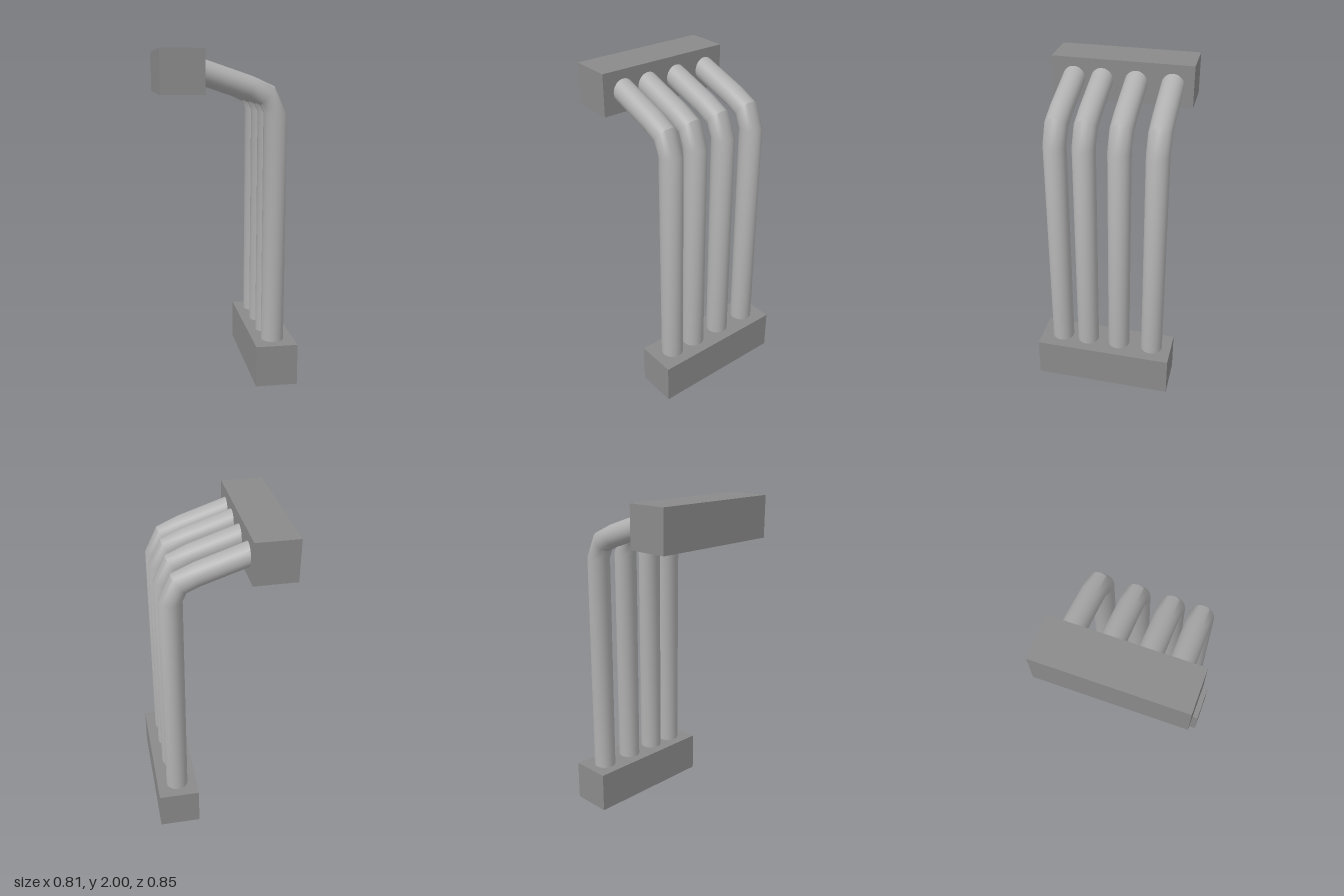
import * as THREE from 'three';
import { toCreasedNormals } from 'three/addons/utils/BufferGeometryUtils.js';

const SIDES = 24, RADIUS = 0.068;

// Pipe rings as [inner x, inner y, outer x, outer y], from the lower block to the upper one
const RINGS = [
  [0.206, 0.2, 0.344, 0.2],
  [0.206, 1.636, 0.344, 1.636],
  [0.184, 1.684, 0.269, 1.79],
  [0.119, 1.715, 0.142, 1.848],
  [-0.22, 1.829, -0.18, 1.957],
];

// Mitred pipe: elliptical rings joined by strips, with a crease at the sharpest bend
function pipeGeometry() {
  const positions = [], index = [];
  for (const [ix, iy, ox, oy] of RINGS) {
    for (let i = 0; i < SIDES; i++) {
      const a = (i / SIDES) * Math.PI * 2;
      const t = (1 + Math.cos(a)) / 2;
      positions.push(ix + (ox - ix) * t, iy + (oy - iy) * t, -RADIUS * Math.sin(a));
    }
  }
  for (let r = 0; r < RINGS.length - 1; r++) {
    for (let i = 0; i < SIDES; i++) {
      const j = (i + 1) % SIDES;
      const a = r * SIDES + i, b = r * SIDES + j;
      index.push(a, b, b + SIDES, a, b + SIDES, a + SIDES);
    }
  }
  const g = new THREE.BufferGeometry();
  g.setAttribute('position', new THREE.Float32BufferAttribute(positions, 3));
  g.setIndex(index);
  return toCreasedNormals(g, 0.58);
}

export function createModel() {
  const group = new THREE.Group();
  const blockMaterial = new THREE.MeshStandardMaterial({ color: 0x8a8a8a });
  const pipeMaterial = new THREE.MeshStandardMaterial({ color: 0xb0b0b0 });
  const add = (name, geometry, material, x, y, z) => {
    const mesh = new THREE.Mesh(geometry, material);
    mesh.name = name;
    mesh.position.set(x, y, z);
    group.add(mesh);
  };

  // Header blocks at the two ends of the pipes
  const block = new THREE.BoxGeometry(0.254, 0.252, 0.852);
  add('lowerBlock', block, blockMaterial, 0.277, 0.126, 0);
  add('upperBlock', block, blockMaterial, -0.277, 1.874, 0);

  // Four bent pipes, unevenly spaced
  const pipe = pipeGeometry();
  [0.291, 0.121, -0.084, -0.301].forEach((z, i) => add(`pipe${i + 1}`, pipe, pipeMaterial, 0, 0, z));

  return group;
}
